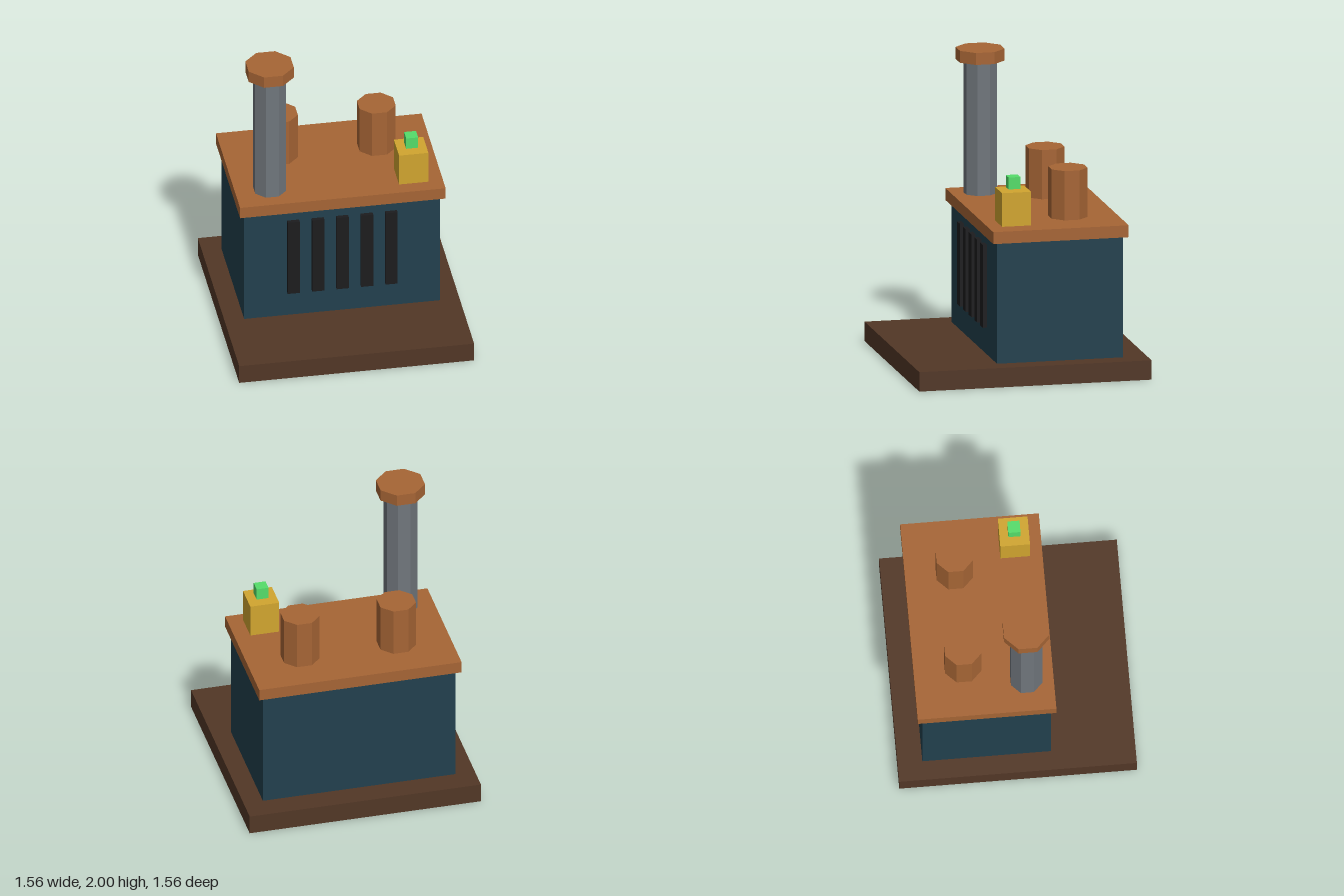
import * as THREE from 'three';

const material = (color) => new THREE.MeshStandardMaterial({ color, flatShading: true });

export function createModel() {
  const model = new THREE.Group();
  model.name = 'stoveMachine';

  const wood = material(0x523726);
  const teal = material(0x22404e);
  const copper = material(0xa66535);
  const steel = material(0x70767c);
  const black = material(0x1c1c1e);
  const brass = material(0xd1a52f);
  const green = material(0x55dd6a);

  function add(name, geometry, mat, x, y, z) {
    const mesh = new THREE.Mesh(geometry, mat);
    mesh.name = name;
    mesh.position.set(x, y, z);
    model.add(mesh);
    return mesh;
  }

  // Box given by its size, its centre in x and z, and its bottom height
  function box(name, mat, [w, h, d], x, bottom, z) {
    return add(name, new THREE.BoxGeometry(w, h, d), mat, x, bottom + h / 2, z);
  }

  // Octagonal prism with flat sides facing the axes
  function octagon(name, mat, halfWidth, h, x, bottom, z) {
    const radius = halfWidth / Math.cos(Math.PI / 8);
    const geometry = new THREE.CylinderGeometry(radius, radius, h, 8).rotateY(Math.PI / 8);
    return add(name, geometry, mat, x, bottom + h / 2, z);
  }

  // Base, cabinet and top plate
  box('base', wood, [1.56, 0.13, 1.56], 0, 0, 0);
  box('cabinet', teal, [1.3, 0.81, 0.845], 0, 0.13, -0.195);
  box('topPlate', copper, [1.365, 0.08, 0.91], 0, 0.94, -0.195);

  // Front vent bars
  for (let i = -2; i <= 2; i++) {
    box('ventBar', black, [0.08, 0.555, 0.05], i * 0.1625, 0.31, 0.23);
  }

  // Chimney with its cap
  octagon('chimney', steel, 0.103, 0.89, -0.455, 1.03, 0.08);
  octagon('chimneyCap', copper, 0.15, 0.08, -0.455, 1.92, 0.08);

  // Pair of rear canisters
  for (const side of [-1, 1]) {
    octagon('canister', copper, 0.12, 0.33, side * 0.325, 1.02, -0.325);
  }

  // Control box and its lamp
  box('controlBox', brass, [0.195, 0.225, 0.195], 0.485, 1.03, 0.08);
  box('lamp', green, [0.08, 0.08, 0.08], 0.485, 1.265, 0.08);

  return model;
}
